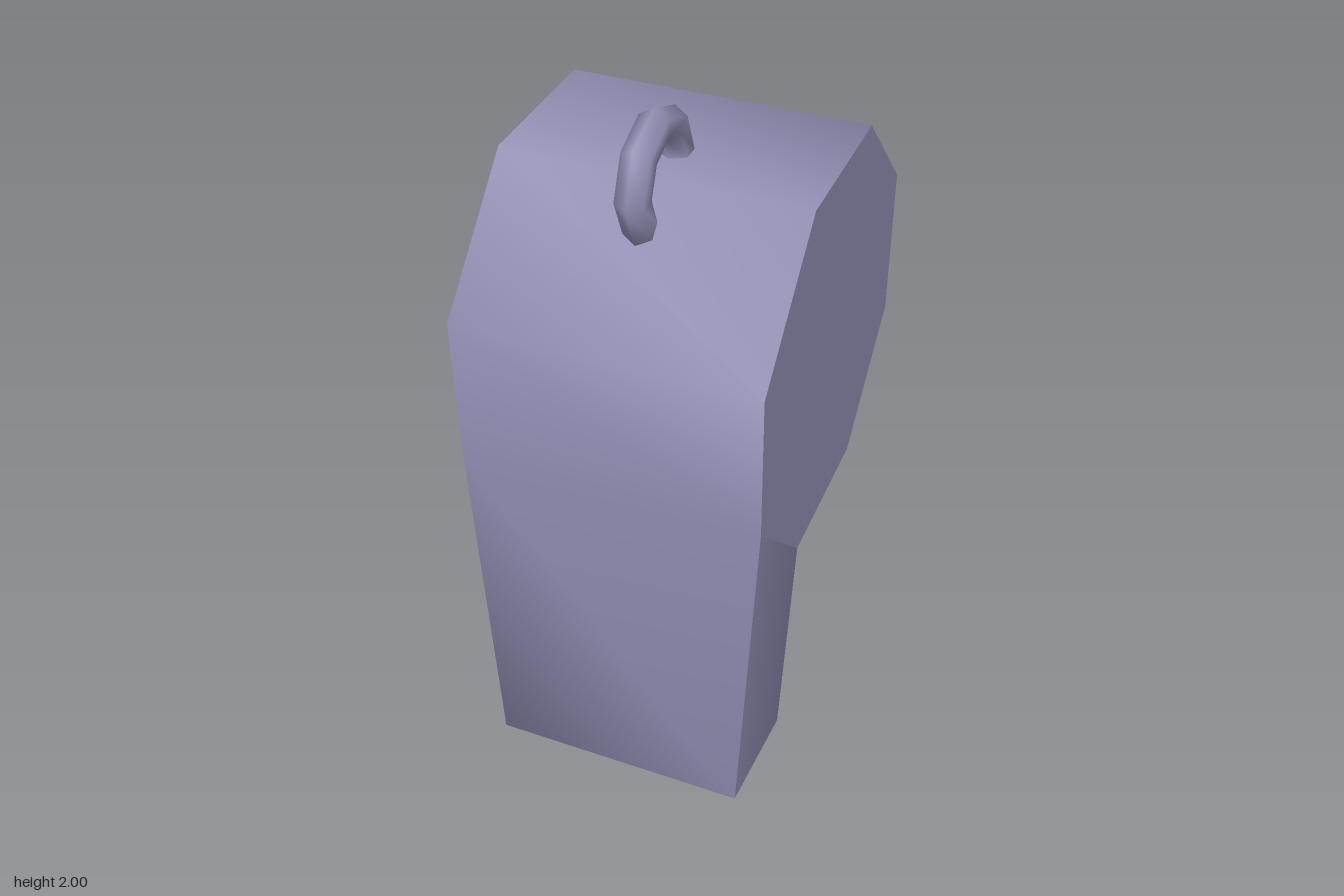
import * as THREE from 'three';

// Indexed strip between two rows of points; shared corners give smooth normals
function strip(a, b) {
  const n = a.length, index = [];
  for (let i = 0; i < n - 1; i++) index.push(i, i + 1, n + i, i + 1, n + i + 1, n + i);
  const g = new THREE.BufferGeometry();
  g.setAttribute('position', new THREE.Float32BufferAttribute([...a, ...b].flat(), 3));
  g.setIndex(index);
  g.computeVertexNormals();
  return g;
}

// Flat convex end plate
function fan(points) {
  const index = [];
  for (let i = 1; i < points.length - 1; i++) index.push(0, i, i + 1);
  const g = new THREE.BufferGeometry();
  g.setAttribute('position', new THREE.Float32BufferAttribute(points.flat(), 3));
  g.setIndex(index);
  g.computeVertexNormals();
  return g;
}

export function createModel() {
  const model = new THREE.Group();
  const metal = new THREE.MeshStandardMaterial({ color: 0x908db2, side: THREE.DoubleSide });
  metal.name = 'lavender grey';
  const add = (name, geometry) => {
    const mesh = new THREE.Mesh(geometry, metal);
    mesh.name = name;
    model.add(mesh);
    return mesh;
  };

  // Side profile as [z, y, half width]: mouthpiece end, front, then round the drum
  const profile = [
    [0.215, 0, 0.385], [0.54, 0, 0.37], [0.54, 1.05, 0.42], [0.55, 1.48, 0.42],
    [0.22, 1.815, 0.42], [-0.23, 1.815, 0.42], [-0.547, 1.5, 0.42],
    [-0.547, 1.05, 0.42], [-0.23, 0.74, 0.42], [0.22, 0.73, 0.42],
  ];
  const left = profile.map(([z, y, w]) => [w, y, z]);
  const right = profile.map(([z, y, w]) => [-w, y, z]);

  // Outer wall: mouthpiece end, front and drum rim
  add('outerWall', strip(right, left));

  // Drum end plates
  add('leftDrumPlate', fan(left.slice(2).reverse()));
  add('rightDrumPlate', fan(right.slice(2)));

  // Mouthpiece sides and back
  add('mouthpiece', strip(
    [left[1], left[0], right[0], right[1]],
    [left[2], left[9], right[9], right[2]],
  ));

  // Ring for a cord, sunk into the top of the drum
  const ring = add('cordRing', new THREE.TorusGeometry(0.137, 0.046, 6, 8));
  ring.rotation.y = Math.PI / 2;
  ring.position.set(0.004, 1.817, 0.213);

  return model;
}
